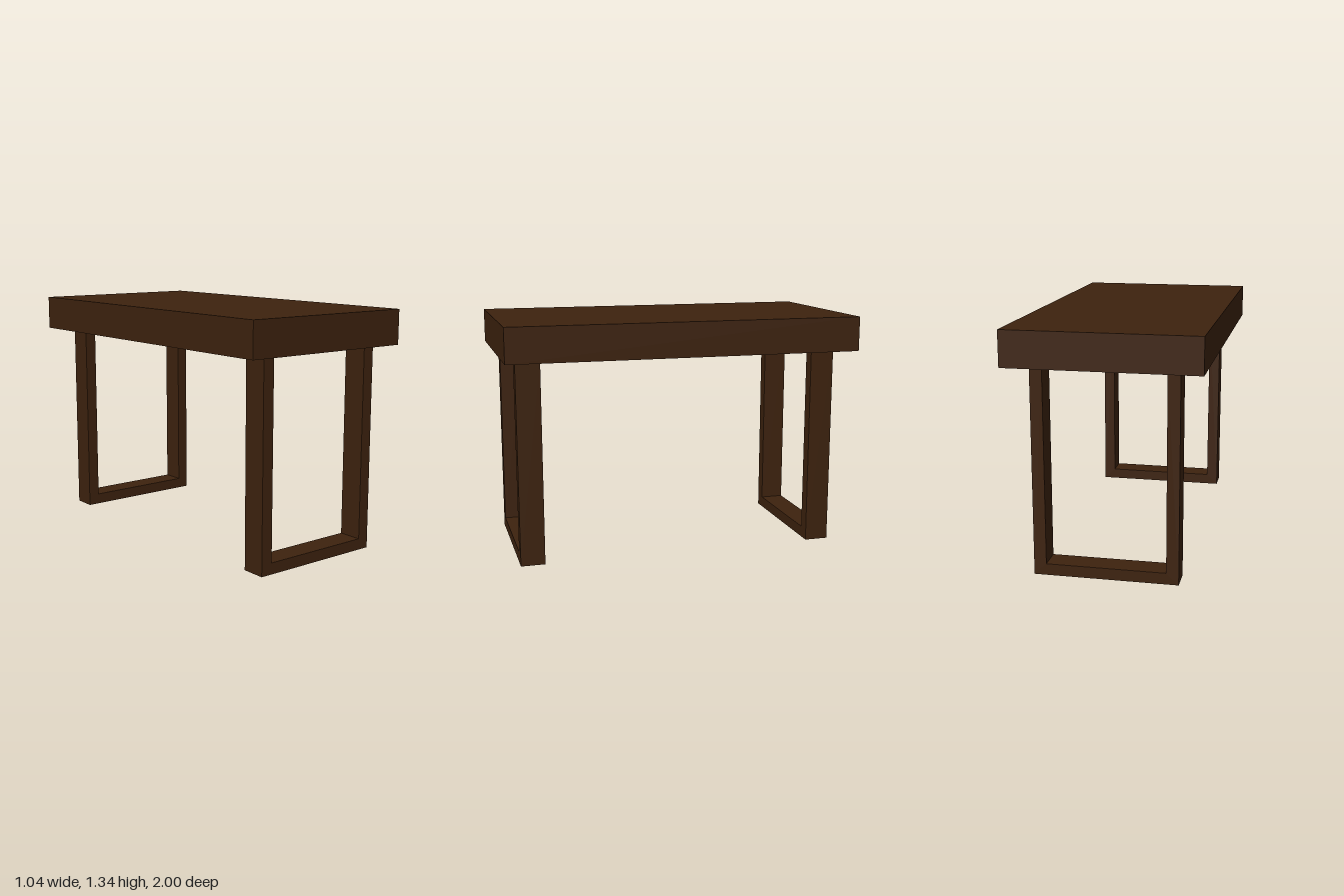
import * as THREE from 'three';

export function createModel() {
  const group = new THREE.Group();
  const wood = new THREE.MeshStandardMaterial({ color: 0x3d220e });
  wood.name = 'darkWood';

  // Thick slab top
  const top = new THREE.Mesh(new THREE.BoxGeometry(1.04, 0.195, 2), wood);
  top.name = 'tableTop';
  top.position.y = 1.2425;
  group.add(top);

  // U-shaped leg frame: two posts joined by a floor bar
  const outer = 0.392, inner = 0.325, bar = 0.063, height = 1.145, depth = 0.136;
  const outline = new THREE.Shape([
    [-outer, 0], [outer, 0], [outer, height], [inner, height],
    [inner, bar], [-inner, bar], [-inner, height], [-outer, height],
  ].map(([x, y]) => new THREE.Vector2(x, y)));
  const frame = new THREE.ExtrudeGeometry(outline, { depth, bevelEnabled: false });
  frame.translate(0, 0, -depth / 2);

  for (const [name, z] of [['frontLegFrame', 0.866], ['backLegFrame', -0.834]]) {
    const leg = new THREE.Mesh(frame, wood);
    leg.name = name;
    leg.position.z = z;
    group.add(leg);
  }
  return group;
}
